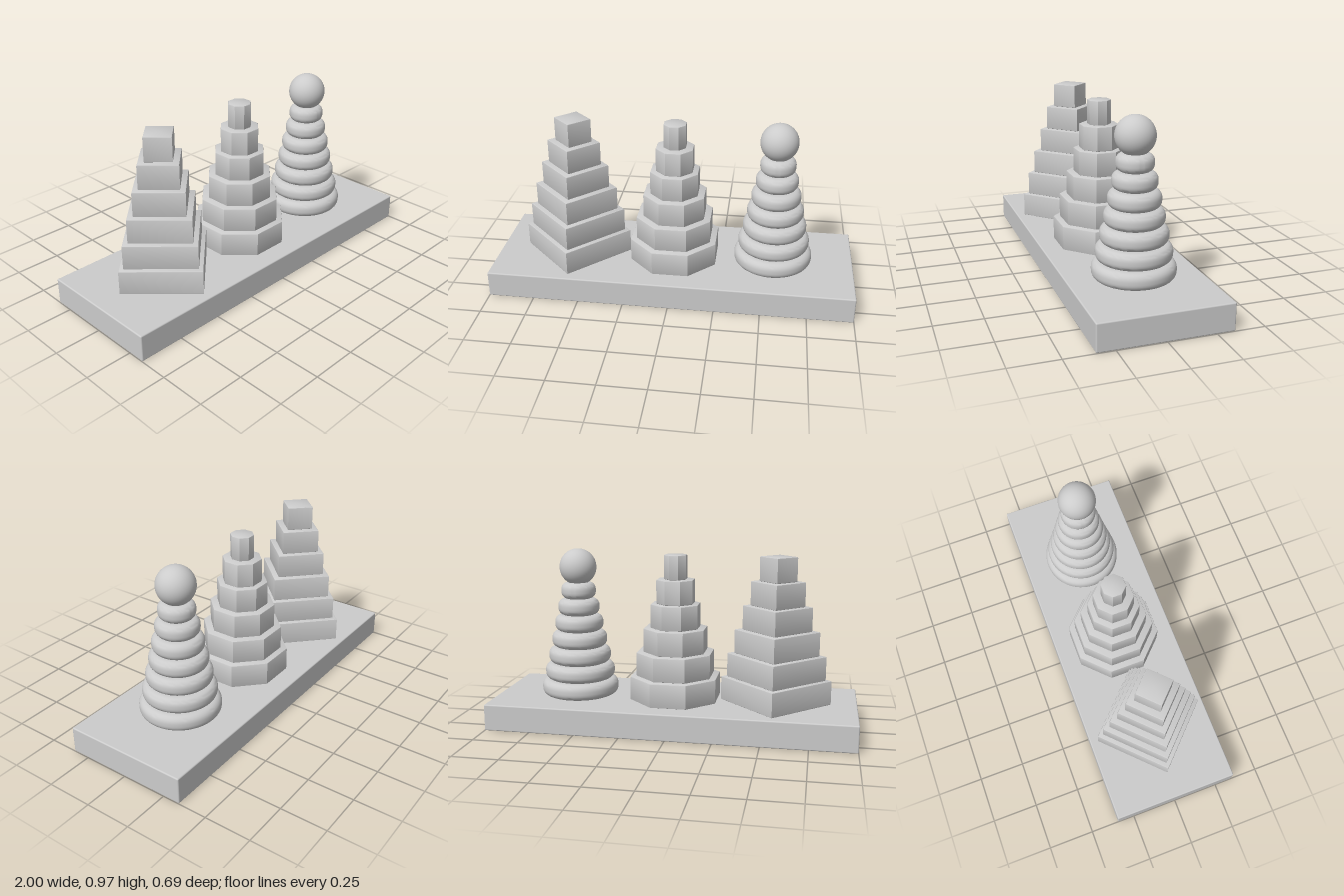
import * as THREE from 'three';
import { toCreasedNormals } from 'three/addons/utils/BufferGeometryUtils.js';
import { RoundedBoxGeometry } from 'three/addons/geometries/RoundedBoxGeometry.js';

const BASE_TOP = 0.146;
const material = new THREE.MeshStandardMaterial({ color: 0xcccccc });

function addPart(parent, name, geometry, x, y, z = 0) {
  const mesh = new THREE.Mesh(geometry, material);
  mesh.name = name;
  mesh.position.set(x, y, z);
  parent.add(mesh);
}

// Solid disc standing on y = 0 with rounded rims of radius r
function roundedDisc(radius, height, r, steps, sides, phiStart = 0) {
  const points = [new THREE.Vector2(0, 0)];
  for (const [cy, start] of [[r, -Math.PI / 2], [height - r, 0]]) {
    for (let i = 0; i <= steps; i++) {
      const a = start + (i / steps) * Math.PI / 2;
      points.push(new THREE.Vector2(radius - r + r * Math.cos(a), cy + r * Math.sin(a)));
    }
  }
  points.push(new THREE.Vector2(0, height));
  return new THREE.LatheGeometry(points, sides, phiStart);
}

// Tapering tower of equally tall prisms
function prismTower(name, x, radii, sides, phiStart) {
  const tower = new THREE.Group();
  tower.name = name;
  const height = 0.1335;
  radii.forEach((radius, i) => {
    const block = toCreasedNormals(roundedDisc(radius, height, 0.005, 2, sides, phiStart), 0.7);
    addPart(tower, `${name}Block${i + 1}`, block, x, BASE_TOP + i * height);
  });
  return tower;
}

export function createModel() {
  const model = new THREE.Group();
  model.name = 'stackingToy';

  // Base board
  addPart(model, 'base', new RoundedBoxGeometry(2, BASE_TOP, 0.69, 3, 0.007), 0, BASE_TOP / 2);

  // Square tower, turned so its corners face the front and sides
  model.add(prismTower('squareTower', -0.557, [0.3, 0.268, 0.23, 0.187, 0.146, 0.1], 4, 0));

  // Octagonal tower, flats facing the front; sizes are half widths across flats
  const flats = [0.237, 0.204, 0.167, 0.13, 0.1, 0.06];
  const radii = flats.map((f) => f / Math.cos(Math.PI / 8));
  model.add(prismTower('octagonTower', 0, radii, 8, Math.PI / 8));

  // Ring tower with a ball on top
  const rings = new THREE.Group();
  rings.name = 'ringTower';
  const ringX = 0.553, ringHeight = 0.091;
  [0.215, 0.195, 0.174, 0.154, 0.135, 0.115, 0.096].forEach((radius, i) => {
    const ring = toCreasedNormals(roundedDisc(radius, ringHeight, 0.038, 6, 64), 0.7);
    addPart(rings, `ring${i + 1}`, ring, ringX, BASE_TOP + i * ringHeight);
  });
  addPart(rings, 'ball', new THREE.SphereGeometry(0.102, 48, 32), ringX, 0.868);
  model.add(rings);

  return model;
}
